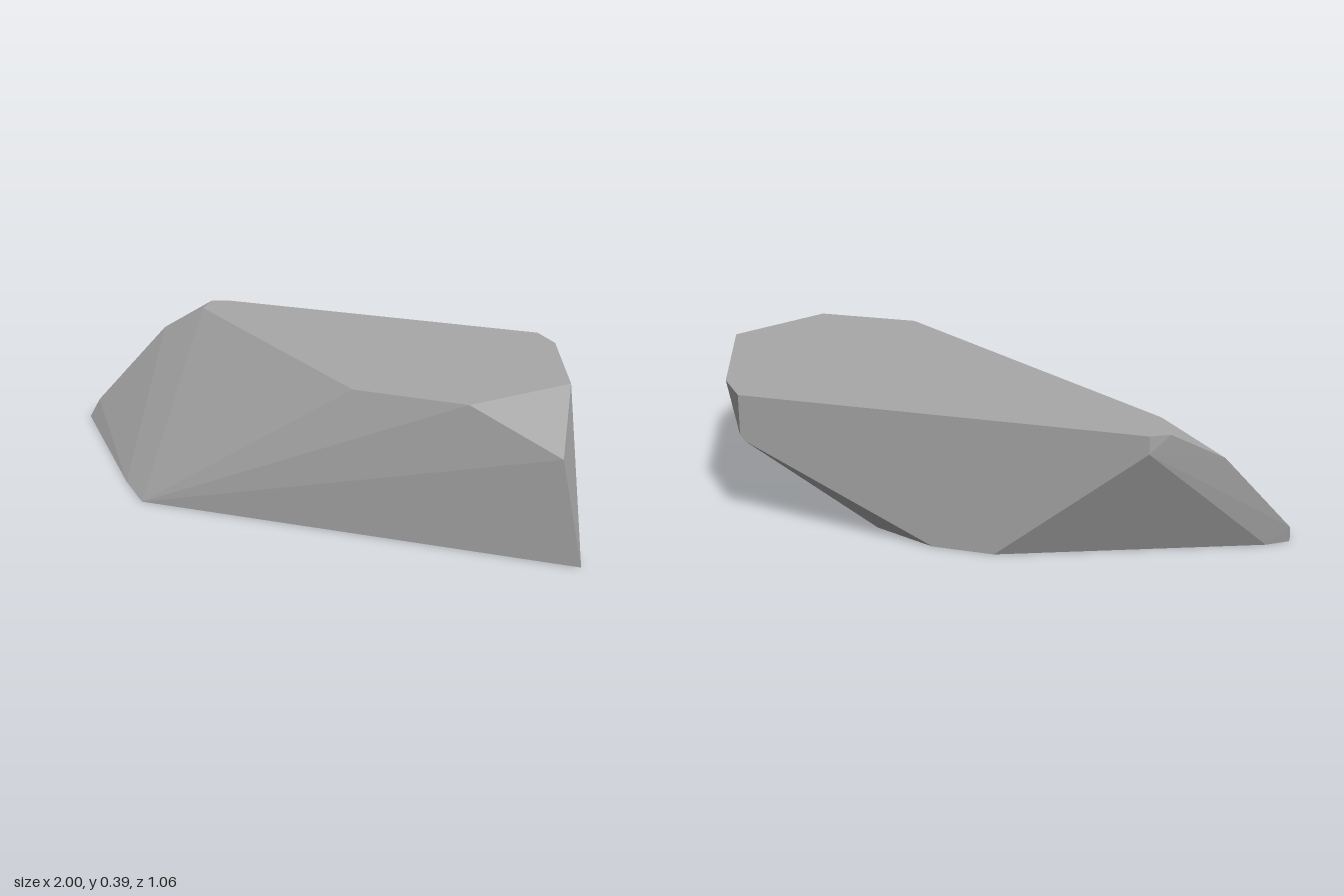
import * as THREE from 'three';
import { ConvexGeometry } from 'three/addons/geometries/ConvexGeometry.js';

export function createModel() {
  const stone = new THREE.MeshStandardMaterial({ color: 0xa8a8a8 });
  stone.name = 'stone grey';

  const ring = (y, corners) => corners.map(([x, z]) => new THREE.Vector3(x, y, z));

  // flat top plateau
  const top = ring(0.39, [
    [-0.65, -0.53], [0.53, -0.53], [0.63, -0.41], [0.84, 0.07],
    [0.68, 0.415], [0.34, 0.415], [-0.65, -0.365], [-0.7, -0.5],
  ]);

  // flat underside
  const base = ring(0, [
    [1, 0.415], [0.66, -0.01], [0.145, -0.45], [-0.05, -0.53], [-0.23, -0.53],
    [-0.94, -0.235], [-1, -0.19], [-1, -0.15], [-0.44, 0.4], [-0.29, 0.53],
  ]);

  // chipped corners between the two
  const chips = [
    [0.94, 0.28, 0.415], [-0.83, 0.3, -0.385], [-1, 0.05, -0.205],
    [-0.65, 0.34, -0.53], [0.53, 0.27, -0.53], [0.515, 0.253, -0.53],
  ].map((p) => new THREE.Vector3(...p));

  // faceted slab of rock
  const rock = new THREE.Mesh(new ConvexGeometry([...top, ...base, ...chips]), stone);
  rock.name = 'rock';

  const model = new THREE.Group();
  model.name = 'flatRock';
  model.add(rock);
  return model;
}
